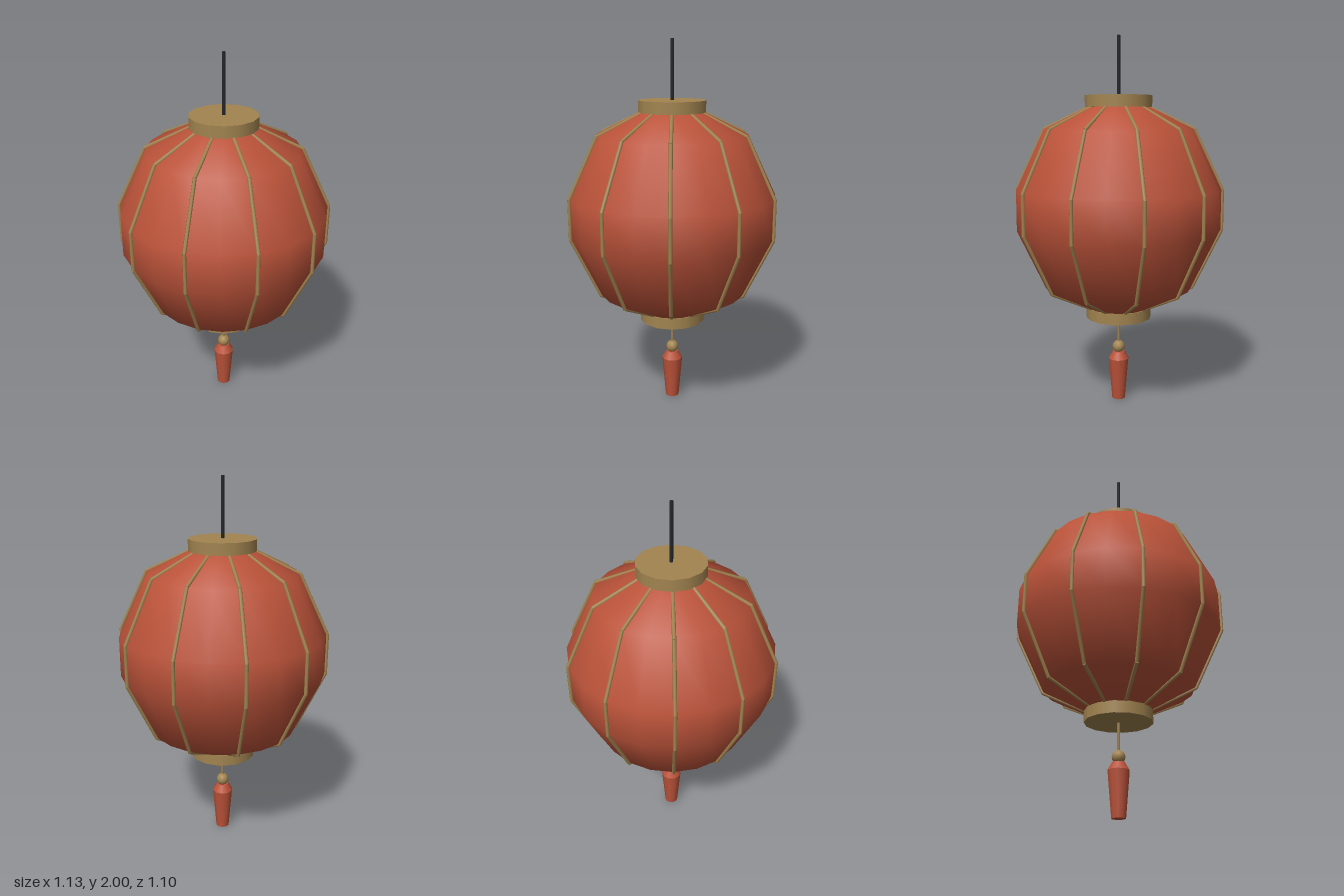
import * as THREE from 'three';
import { mergeGeometries } from 'three/addons/utils/BufferGeometryUtils.js';

const mat = (name, color) => new THREE.MeshStandardMaterial({ name, color });

export function createModel() {
  const group = new THREE.Group();
  const paper = mat('red paper', 0xba5239);
  const brass = mat('aged brass', 0xa28450);
  const cord = mat('dark cord', 0x23292d);

  const add = (name, geometry, material, y = 0) => {
    const mesh = new THREE.Mesh(geometry, material);
    mesh.name = name;
    mesh.position.y = y;
    group.add(mesh);
    return mesh;
  };
  const profile = (points) => points.map(([r, y]) => new THREE.Vector2(r, y));

  // Paper globe: faceted outline, smooth shading, a vertex line under each rib
  const globe = profile([
    [0.16, 0.535], [0.4, 0.655], [0.552, 0.977],
    [0.552, 1.193], [0.4, 1.513], [0.16, 1.633],
  ]);
  add('globe', new THREE.LatheGeometry(globe, 20, Math.PI / 2), paper);

  // One rib of straight rods following the globe outline, repeated around it
  const up = new THREE.Vector3(0, 1, 0);
  const ribPath = [
    [0.15, 0.535], [0.404, 0.655], [0.557, 0.977],
    [0.557, 1.193], [0.404, 1.513], [0.15, 1.633],
  ].map(([x, y]) => new THREE.Vector3(x, y, 0));
  const rods = ribPath.slice(1).map((end, i) => {
    const start = ribPath[i];
    const dir = end.clone().sub(start);
    const rod = new THREE.CylinderGeometry(0.01, 0.01, dir.length() + 0.004, 6);
    rod.applyQuaternion(new THREE.Quaternion().setFromUnitVectors(up, dir.normalize()));
    const mid = start.clone().add(end).multiplyScalar(0.5);
    return rod.translate(mid.x, mid.y, mid.z);
  });
  const ribGeometry = mergeGeometries(rods);
  for (let i = 0; i < 10; i++) {
    add('rib', ribGeometry, brass).rotation.y = (i * Math.PI) / 5;
  }

  // End caps
  const cap = new THREE.CylinderGeometry(0.18, 0.18, 0.062, 14).rotateY(Math.PI / 2);
  add('topCap', cap, brass, 1.659);
  add('bottomCap', cap, brass, 0.51);

  // Hanging cord, lower stem and bead
  add('hangingCord', new THREE.CylinderGeometry(0.009, 0.009, 0.32, 6), cord, 1.84);
  add('tasselStem', new THREE.CylinderGeometry(0.008, 0.008, 0.18, 6), brass, 0.4);
  add('bead', new THREE.SphereGeometry(0.035, 12, 8), brass, 0.302);

  // Tassel: sloped shoulder over a tapering skirt
  add('tasselShoulder', new THREE.CylinderGeometry(0.033, 0.057, 0.04, 10), paper, 0.255);
  add('tasselSkirt', new THREE.CylinderGeometry(0.057, 0.037, 0.235, 10), paper, 0.1175);

  return group;
}
